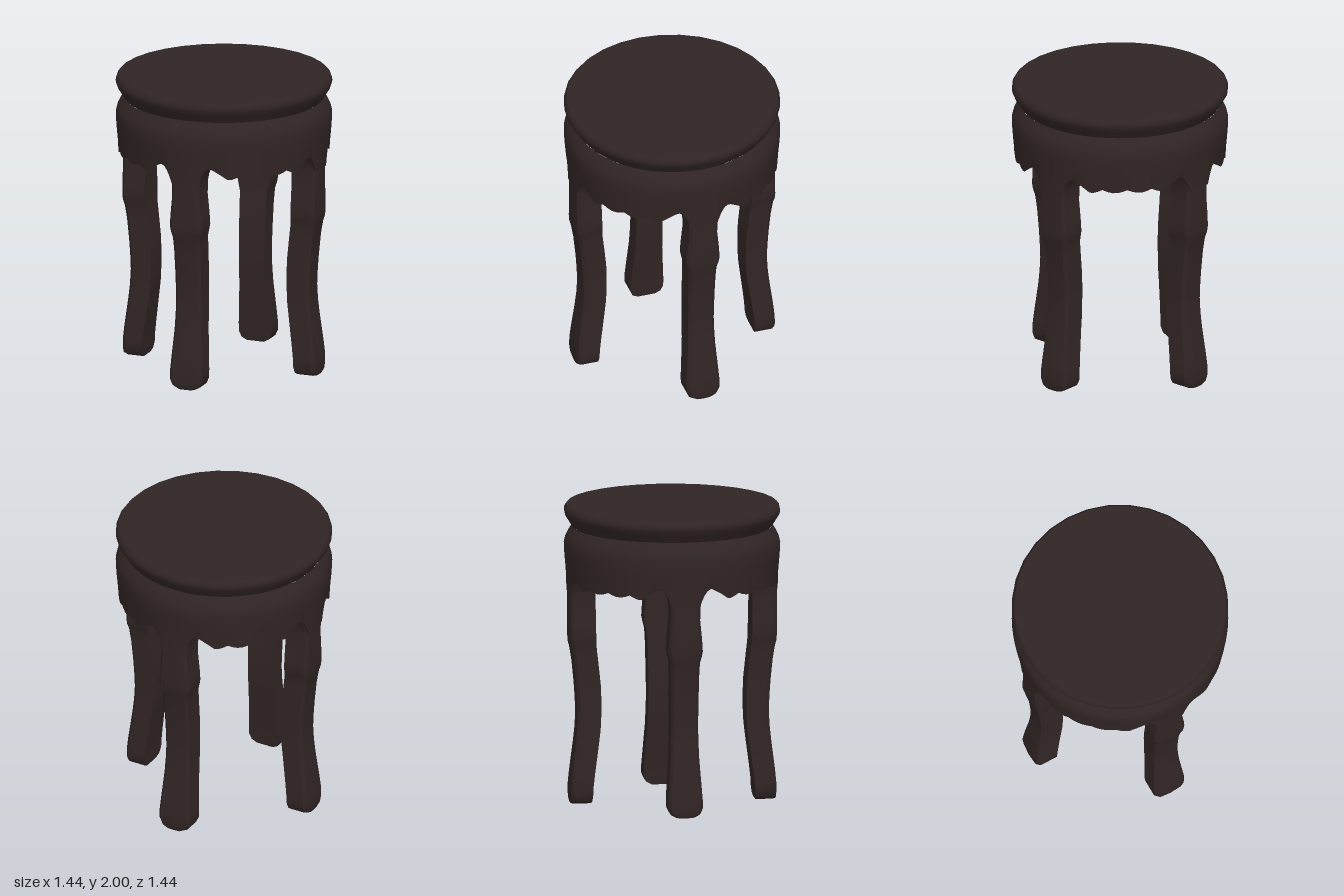
import * as THREE from 'three';
import { toCreasedNormals } from 'three/addons/utils/BufferGeometryUtils.js';

// Skin a stack of closed loops of [x, y, z] points; optionally close both ends.
function skin(rows, capped) {
  const n = rows[0].length;
  const pos = rows.flat(2);
  const index = [];
  for (let i = 0; i < rows.length - 1; i++) {
    for (let j = 0; j < n; j++) {
      const k = (j + 1) % n;
      const a = i * n + j, b = i * n + k, c = b + n, d = a + n;
      index.push(a, b, c, a, c, d);
    }
  }
  if (capped) {
    const top = (rows.length - 1) * n;
    for (let j = 1; j < n - 1; j++) {
      index.push(0, j + 1, j, top, top + j, top + j + 1);
    }
  }
  const g = new THREE.BufferGeometry();
  g.setAttribute('position', new THREE.Float32BufferAttribute(pos, 3));
  g.setIndex(index);
  return toCreasedNormals(g, 0.6);
}

// Lower edge of the apron: [degrees from leg centre, height], one eighth of a turn
const EDGE = [
  [0, 1.42], [7.5, 1.42], [9, 1.47], [10.5, 1.505], [12, 1.53], [14, 1.543], [16, 1.535],
  [20, 1.505], [24, 1.472], [26, 1.47], [29, 1.482], [31.5, 1.497], [34, 1.485],
  [37, 1.477], [40, 1.479], [42.5, 1.487], [45, 1.498],
];

function apronGeometry() {
  const quarter = [...EDGE, ...EDGE.slice(1, -1).reverse().map(([a, y]) => [90 - a, y])];
  const columns = [];
  for (let q = 0; q < 4; q++) for (const [a, y] of quarter) columns.push([a + q * 90, y]);
  // Inner wall down, underside outwards, outer wall up; null marks the scalloped edge
  const profile = [
    [0.53, 1.77], [0.53, 1.54], [0.7, null], [0.705, 1.56], [0.714, 1.66],
    [0.718, 1.74], [0.708, 1.78], [0.69, 1.815], [0.664, 1.856],
  ];
  return skin(profile.map(([r, h]) => columns.map(([a, edge]) => {
    const t = THREE.MathUtils.degToRad(a);
    return [r * Math.sin(t), h ?? edge, r * Math.cos(t)];
  })));
}

// Leg sections: [height, half width, inner radius, outer radius]
const LEG = [
  [0, 0.06, 0.55, 0.685], [0.02, 0.097, 0.546, 0.692], [0.06, 0.115, 0.543, 0.695],
  [0.12, 0.115, 0.54, 0.694], [0.2, 0.109, 0.53, 0.686], [0.4, 0.095, 0.502, 0.66],
  [0.5, 0.092, 0.49, 0.649], [0.6, 0.09, 0.485, 0.644], [0.7, 0.091, 0.485, 0.648],
  [0.8, 0.092, 0.489, 0.655], [0.95, 0.094, 0.505, 0.67], [1.04, 0.097, 0.516, 0.685],
  [1.08, 0.107, 0.52, 0.696], [1.12, 0.115, 0.522, 0.698], [1.2, 0.11, 0.523, 0.698],
  [1.33, 0.097, 0.524, 0.698], [1.42, 0.1, 0.525, 0.698], [1.47, 0.109, 0.525, 0.698],
  [1.51, 0.127, 0.525, 0.698], [1.54, 0.16, 0.525, 0.696], [1.56, 0.16, 0.525, 0.696],
];

function legGeometry() {
  return skin(LEG.map(([y, w, inner, outer]) => {
    const bow = outer - w * w / 1.4;
    return [
      [0, y, outer], [w - 0.018, y, bow], [w, y, bow - 0.02], [w, y, inner],
      [-w, y, inner], [-w, y, bow - 0.02], [-w + 0.018, y, bow],
    ];
  }), true);
}

function seatGeometry() {
  const profile = [
    [0, 1.765], [0.56, 1.765], [0.6, 1.84], [0.664, 1.855], [0.692, 1.9], [0.714, 1.935],
    [0.719, 1.957], [0.715, 1.98], [0.7, 2], [0, 2],
  ].map(([r, y]) => new THREE.Vector2(r, y));
  return toCreasedNormals(new THREE.LatheGeometry(profile, 32), 0.6);
}

export function createModel() {
  const model = new THREE.Group();
  model.name = 'stool';
  const wood = new THREE.MeshStandardMaterial({ color: 0x302524 });
  wood.name = 'dark wood';

  const add = (name, geometry) => {
    const mesh = new THREE.Mesh(geometry, wood);
    mesh.name = name;
    model.add(mesh);
    return mesh;
  };

  add('seat', seatGeometry());
  add('apron', apronGeometry());

  // Four legs, a quarter turn apart
  const leg = legGeometry();
  ['frontLeg', 'leftLeg', 'backLeg', 'rightLeg'].forEach((name, i) => {
    add(name, leg).rotation.y = i * Math.PI / 2;
  });
  return model;
}
